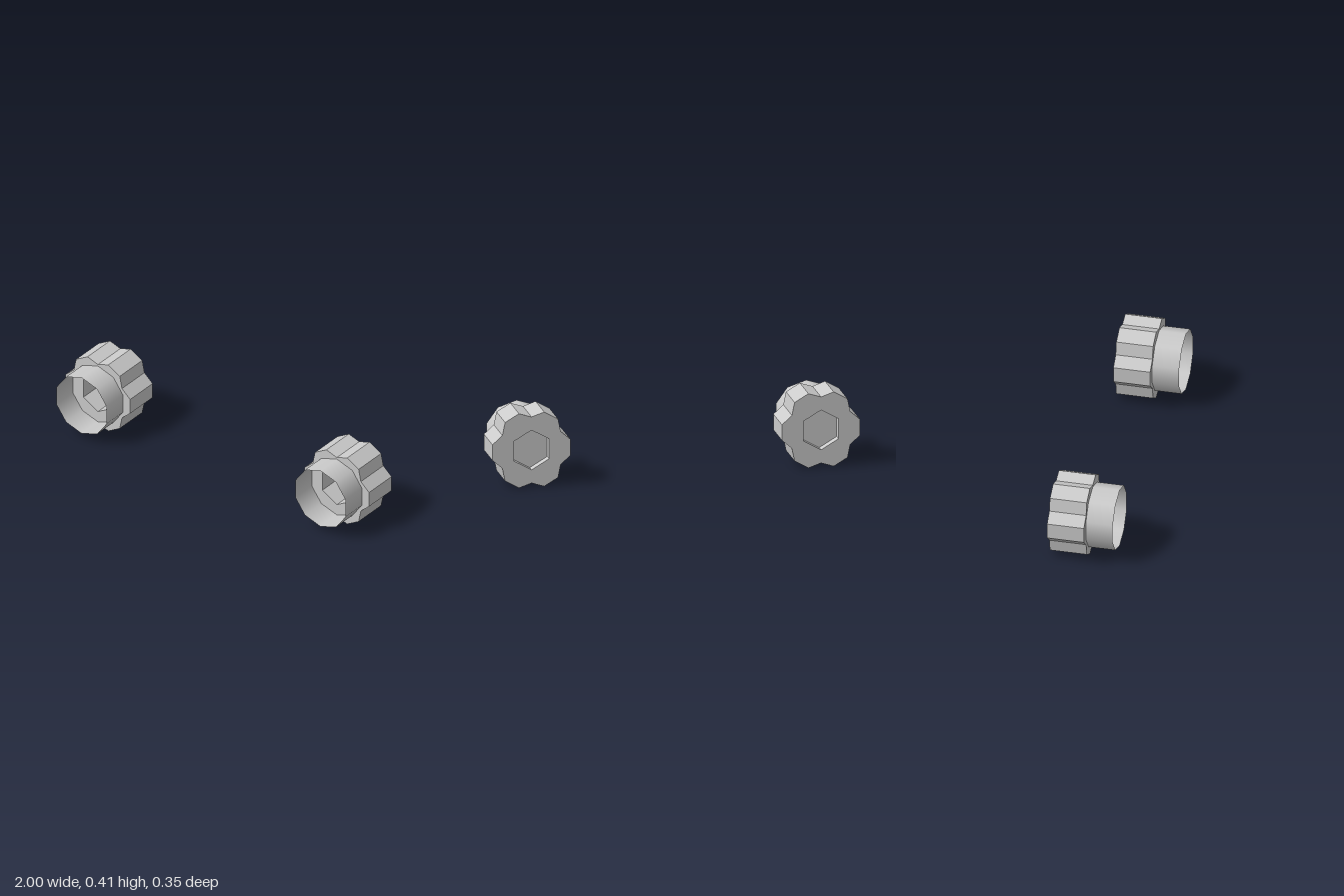
import * as THREE from 'three';

const material = new THREE.MeshStandardMaterial({ color: 0xcccccc, flatShading: true });
const sleeveMaterial = new THREE.MeshStandardMaterial({ color: 0xcccccc, side: THREE.DoubleSide });
const webMaterial = new THREE.MeshStandardMaterial({ color: 0xcccccc, side: THREE.DoubleSide });

const BACK = -0.173, STEP = 0.027, FRONT = 0.173, WEB = -0.13;

const polar = (r, a) => new THREE.Vector2(r * Math.cos(a), r * Math.sin(a));

// Pointy-top hexagon of the socket
function hexPoints(r) {
  return Array.from({ length: 6 }, (_, i) => polar(r, Math.PI / 6 + i * Math.PI / 3));
}

// Six blunt teeth with a single notch point between neighbours
function toothedPoints() {
  const points = [], half = 0.202;
  for (let i = 0; i < 6; i++) {
    const a = i * Math.PI / 3;
    points.push(polar(0.217, a - half), polar(0.217, a + half), polar(0.183, a + Math.PI / 6));
  }
  return points;
}

function add(group, name, geometry, mat) {
  const mesh = new THREE.Mesh(geometry, mat);
  mesh.name = name;
  group.add(mesh);
}

function createKnob(name, x) {
  const knob = new THREE.Group();
  knob.name = name;
  knob.position.set(x, 0.2065, 0);

  // Toothed grip with a hexagonal socket
  const outline = new THREE.Shape(toothedPoints());
  outline.holes.push(new THREE.Path(hexPoints(0.11).reverse()));
  const grip = new THREE.ExtrudeGeometry(outline, { depth: STEP - BACK, bevelEnabled: false });
  grip.translate(0, 0, BACK);
  add(knob, 'toothedGrip', grip, material);

  // Web closing the socket near the back
  const web = new THREE.ShapeGeometry(new THREE.Shape(hexPoints(0.11)));
  web.translate(0, 0, WEB);
  add(knob, 'socketWeb', web, webMaterial);

  // Thin open sleeve at the front
  const sleeve = new THREE.CylinderGeometry(0.1735, 0.1735, FRONT - STEP, 10, 1, true);
  sleeve.rotateX(Math.PI / 2).translate(0, 0, (FRONT + STEP) / 2);
  add(knob, 'sleeve', sleeve, sleeveMaterial);
  return knob;
}

export function createModel() {
  const model = new THREE.Group();
  model.name = 'knobPair';
  model.add(createKnob('leftKnob', 0.7875), createKnob('rightKnob', -0.7875));
  return model;
}
